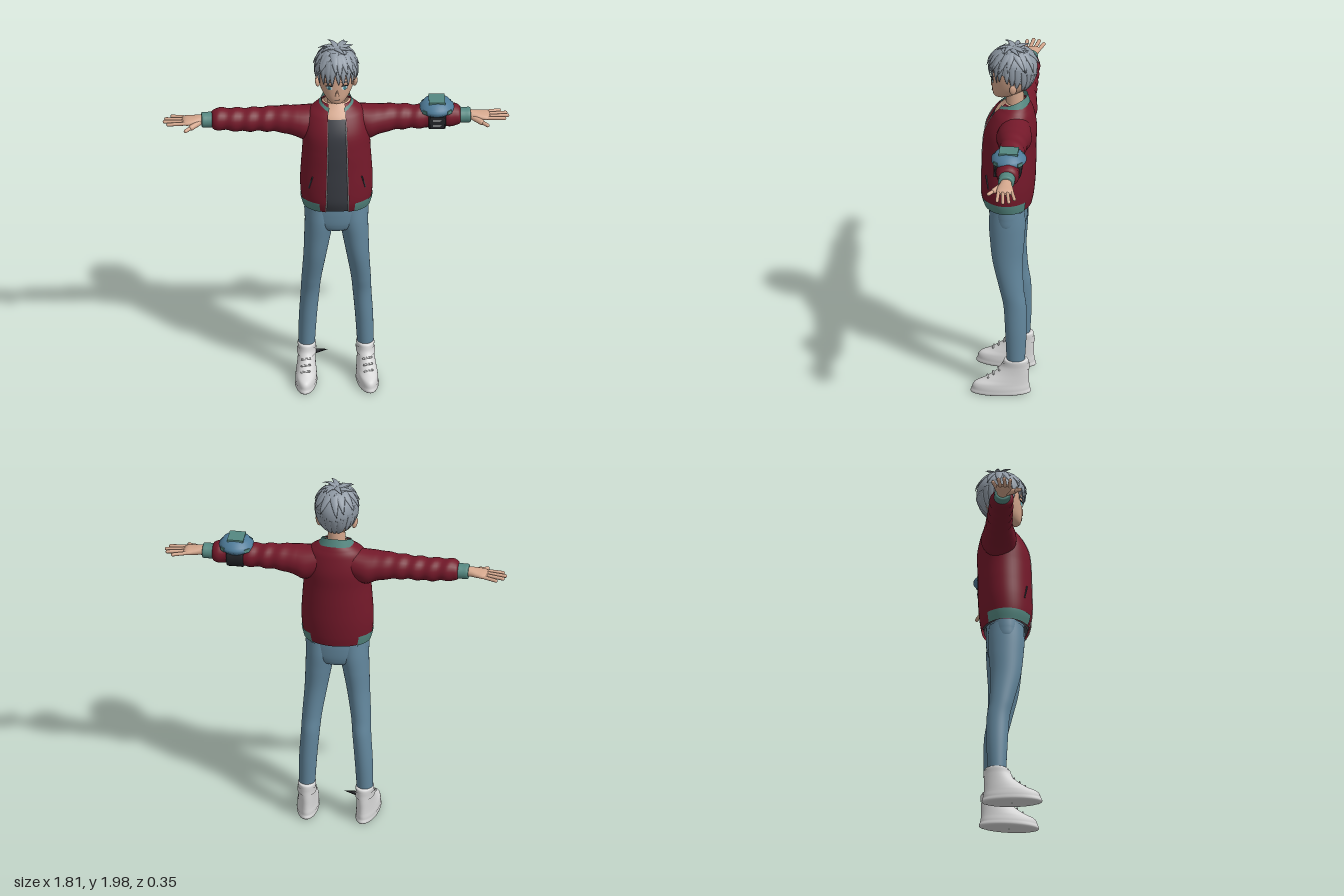
import * as THREE from 'three';
import { mergeGeometries } from 'three/addons/utils/BufferGeometryUtils.js';
import { ParametricGeometry } from 'three/addons/geometries/ParametricGeometry.js';

const mat = (name, color, side = THREE.FrontSide) =>
  Object.assign(new THREE.MeshStandardMaterial({ color, side }), { name });
const V = (x, y, z) => new THREE.Vector3(x, y, z);

// Smooth interpolation through a list of cross-sections
function sample(secs, v) {
  const n = secs.length - 1, k = Math.min(Math.max(v, 0), 1) * n;
  const i = Math.min(Math.floor(k), n - 1), t = k - i;
  const [p0, p1, p2, p3] = [secs[Math.max(i - 1, 0)], secs[i], secs[i + 1], secs[Math.min(i + 2, n)]];
  return p1.map((b, j) => {
    const a = p0[j], c = p2[j], d = p3[j];
    return 0.5 * (2 * b + (c - a) * t + (2 * a - 5 * b + 4 * c - d) * t * t + (3 * b - a - 3 * c + d) * t * t * t);
  });
}

// Upright loft; sections are [y, cx, cz, rx, rz], angle 0 faces the front
function loftY(secs, { s = 1, grow = 0, v0 = 0, v1 = 1, arc = () => [0, 2 * Math.PI], nu = 36, nv = 32 } = {}) {
  return new ParametricGeometry((u, v, p) => {
    const [y, cx, cz, rx, rz] = sample(secs, v0 + (v1 - v0) * v);
    const [a0, a1] = arc(rx, v), a = a0 + (a1 - a0) * u;
    p.set(s * cx + (rx + grow) * Math.sin(a), y, cz + (rz + grow) * Math.cos(a));
  }, nu, nv);
}

// Sideways loft; sections are [x, cy, cz, ry, rz]
function loftX(secs, s, wrinkle = 0, nv = 20) {
  return new ParametricGeometry((u, v, p) => {
    const [x, cy, cz, ry, rz] = sample(secs, v), a = 2 * Math.PI * u;
    const w = wrinkle * Math.sin(x * 75 + 1.2 * Math.sin(a)) * Math.min(1, Math.max(0, (x - 0.2) * 6));
    p.set(s * x, cy + (ry + w) * Math.cos(a), cz + s * (rz + w) * Math.sin(a));
  }, 24, nv);
}

// Pointed, flattened lock of hair along a bent path
function lock(a, b, c, width, centre) {
  const curve = new THREE.QuadraticBezierCurve3(a, b, c);
  return new ParametricGeometry((u, v, p) => {
    const q = curve.getPoint(v), T = curve.getTangent(v);
    const S = q.clone().sub(centre).cross(T).normalize(), N = T.clone().cross(S);
    const w = width * (0.002 + Math.pow(1 - v, 0.7)), t = 2 * Math.PI * u;
    p.copy(q).addScaledVector(S, w * Math.cos(t)).addScaledVector(N, 0.4 * w * Math.sin(t));
  }, 8, 6);
}

// Rounded rod between two points
function rod(a, b, r) {
  const d = b.clone().sub(a), g = new THREE.CapsuleGeometry(r, d.length(), 4, 10);
  g.applyQuaternion(new THREE.Quaternion().setFromUnitVectors(V(0, 1, 0), d.normalize()));
  const m = a.clone().add(b).multiplyScalar(0.5);
  return g.translate(m.x, m.y, m.z);
}

export function createModel() {
  const root = new THREE.Group();
  root.name = 'youngMan';
  const M = {
    hair: mat('hairGrey', 0x909aa5), skin: mat('skin', 0xd3a68c, THREE.DoubleSide),
    red: mat('jacketRed', 0x74192a, THREE.DoubleSide), teal: mat('ribTeal', 0x558881, THREE.DoubleSide),
    shirt: mat('shirtCharcoal', 0x383b42, THREE.DoubleSide), jeans: mat('jeansBlue', 0x62869c),
    white: mat('shoeWhite', 0xd8d8d8), blue: mat('deviceBlue', 0x4f7c9a),
    black: mat('black', 0x222327), iris: mat('irisAqua', 0x58a3b0),
  };
  const add = (name, geo, m, parent = root) => {
    const mesh = new THREE.Mesh(geo, m);
    mesh.name = name;
    parent.add(mesh);
    return mesh;
  };
  const box = (name, m, size, pos, rot = [0, 0, 0], parent = root) => {
    const b = add(name, new THREE.BoxGeometry(...size), m, parent);
    b.position.set(...pos);
    b.rotation.set(...rot);
    return b;
  };

  // Jacket body with an open front, over the shirt and upper chest
  const torso = [[1.06, 0, 0.005, 0.172, 0.125], [1.115, 0, 0.008, 0.185, 0.138], [1.2, 0, 0.005, 0.19, 0.143],
    [1.3, 0, 0.002, 0.185, 0.143], [1.4, 0, 0, 0.178, 0.142], [1.5, 0, -0.008, 0.175, 0.137],
    [1.585, 0, -0.022, 0.152, 0.108], [1.625, 0, -0.033, 0.112, 0.082], [1.65, 0, -0.037, 0.075, 0.065]];
  const gap = (rx, v) => Math.asin((0.06 - 0.018 * v) / rx);
  add('jacketBody', loftY(torso, { nu: 48, arc: (rx, v) => [gap(rx, v), 2 * Math.PI - gap(rx, v)] }), M.red);
  add('shirt', loftY(torso, { grow: -0.012, v1: 0.75 }), M.shirt);
  add('upperChest', loftY(torso, { grow: -0.012, v0: 0.75 }), M.skin);
  for (const s of [1, -1]) {
    const arc = () => (s > 0 ? [0.52, 2.4] : [2 * Math.PI - 2.4, 2 * Math.PI - 0.52]);
    add('hemRib', loftY(torso, { grow: 0.004, v1: 1 / 8, arc, nv: 6 }), M.teal);
    const edge = [];
    for (let i = 0; i <= 12; i++) {
      const v = 0.02 + 0.72 * i / 12, [y, , cz, rx, rz] = sample(torso, v), a = gap(rx, v);
      edge.push(V(s * rx * Math.sin(a), y, cz + rz * Math.cos(a)));
    }
    add('zipEdge', new THREE.TubeGeometry(new THREE.CatmullRomCurve3(edge), 30, 0.003, 6), M.white);
    box('pocketSlit', M.shirt, [0.006, 0.075, 0.008], [s * 0.138, 1.23, 0.103], [0, s * 0.7, s * 0.3]);
  }

  // Standing collar, low in front and high behind
  add('collar', new ParametricGeometry((u, v, p) => {
    const a = 0.5 + (2 * Math.PI - 1) * u;
    p.set((0.1 - 0.022 * v) * Math.sin(a), 1.62 - 0.03 * Math.cos(a) + 0.042 * v,
      -0.015 - 0.01 * v + (0.094 - 0.022 * v) * Math.cos(a));
  }, 36, 4), M.teal);

  // Arms: sleeve, cuff, palm and fingers
  const sleeve = [[0.08, 1.535, -0.042, 0.08, 0.075], [0.16, 1.515, -0.04, 0.092, 0.093], [0.22, 1.525, -0.04, 0.08, 0.085],
    [0.3, 1.533, -0.045, 0.07, 0.071], [0.4, 1.533, -0.046, 0.063, 0.066], [0.5, 1.532, -0.046, 0.062, 0.063],
    [0.6, 1.538, -0.046, 0.058, 0.06], [0.64, 1.537, -0.046, 0.054, 0.055], [0.652, 1.537, -0.046, 0.038, 0.04]];
  const cuff = [[0.63, 1.536, -0.046, 0.041, 0.044], [0.67, 1.535, -0.046, 0.04, 0.043],
    [0.7, 1.535, -0.046, 0.039, 0.042], [0.704, 1.535, -0.046, 0.026, 0.03]];
  const palm = [[0.67, 1.535, -0.046, 0.026, 0.029], [0.71, 1.536, -0.046, 0.025, 0.031], [0.75, 1.533, -0.046, 0.022, 0.041],
    [0.79, 1.53, -0.049, 0.017, 0.046], [0.81, 1.528, -0.049, 0.003, 0.034]];
  const fingers = [[0.79, -0.086, 0.855, -0.104], [0.795, -0.062, 0.888, -0.077], [0.795, -0.037, 0.897, -0.047], [0.79, -0.014, 0.88, -0.015]];
  for (const s of [1, -1]) {
    const arm = new THREE.Group();
    arm.name = s > 0 ? 'leftArm' : 'rightArm';
    root.add(arm);
    add('sleeve', loftX(sleeve, s, 0.0035, 70), M.red, arm);
    add('cuff', loftX(cuff, s), M.teal, arm);
    add('palm', loftX(palm, s), M.skin, arm);
    for (const [x0, z0, x1, z1] of fingers)
      add('finger', rod(V(s * x0, 1.53, z0), V(s * x1, 1.526, z1), 0.0095), M.skin, arm);
    add('thumbBase', rod(V(s * 0.715, 1.53, -0.025), V(s * 0.76, 1.52, 0.012), 0.015), M.skin, arm);
    add('thumb', rod(V(s * 0.76, 1.52, 0.012), V(s * 0.79, 1.515, 0.038), 0.01), M.skin, arm);
  }

  // Round device strapped to the left sleeve
  const device = new THREE.Group();
  device.name = 'armDevice';
  root.add(device);
  device.position.set(0.527, 0, -0.045);
  const dome = [[0, 1.54], [0.06, 1.55], [0.082, 1.57], [0.092, 1.58], [0.092, 1.595], [0.082, 1.603], [0.07, 1.622], [0.045, 1.631], [0, 1.634]];
  add('deviceDome', new THREE.LatheGeometry(dome.map(([r, y]) => new THREE.Vector2(r, y)), 32), M.blue, device);
  box('deviceFace', M.teal, [0.085, 0.014, 0.1], [0, 1.63, 0], [0, 0, 0], device);
  for (let i = 0; i < 4; i++) {
    const a = Math.PI / 4 + i * Math.PI / 2;
    box('deviceLug', M.teal, [0.03, 0.02, 0.014], [0.087 * Math.sin(a), 1.587, 0.087 * Math.cos(a)], [0, a, 0], device);
  }
  const strap = [-0.045, -0.04, 0, 0.04, 0.045].map((x, i) => {
    const r = i % 4 ? 0.071 : 0.06;
    return [x, 1.535, 0, r, r];
  });
  add('deviceStrap', loftX(strap, 1), M.black, device);
  box('strapClasp', M.black, [0.075, 0.07, 0.02], [0, 1.53, 0.066], [0, 0, 0], device);
  for (const y of [1.515, 1.545]) box('claspLine', M.white, [0.045, 0.004, 0.004], [0, y, 0.077], [0, 0, 0], device);

  // Jeans
  add('jeansHips', loftY([[0.905, 0, 0, 0.01, 0.03], [0.925, 0, 0.002, 0.11, 0.08], [0.96, 0, 0.003, 0.16, 0.097],
    [1.02, 0, 0.003, 0.168, 0.102], [1.09, 0, 0.003, 0.165, 0.1]]), M.jeans);
  const leg = [[0.17, 0.153, -0.05, 0.039, 0.044], [0.2, 0.153, -0.048, 0.043, 0.048], [0.35, 0.147, -0.048, 0.047, 0.056],
    [0.5, 0.136, -0.042, 0.049, 0.06], [0.6, 0.129, -0.024, 0.052, 0.064], [0.75, 0.112, -0.002, 0.06, 0.079],
    [0.88, 0.098, 0.002, 0.07, 0.091], [0.97, 0.088, 0.003, 0.077, 0.096], [1.05, 0.085, 0.003, 0.075, 0.09]];
  for (const s of [1, -1]) add('jeansLeg', loftY(leg, { s, nv: 48 }), M.jeans);

  // High-top shoes, toes turned slightly out
  const shoe = [[0.003, 0, 0.03, 0.003, 0.003], [0.002, 0, 0.03, 0.05, 0.143], [0.03, 0, 0.03, 0.056, 0.15], [0.06, 0, 0.025, 0.054, 0.143],
    [0.085, 0, 0, 0.05, 0.117], [0.12, 0, -0.027, 0.046, 0.09], [0.16, 0, -0.045, 0.045, 0.07], [0.195, 0, -0.05, 0.047, 0.063],
    [0.2, 0, -0.05, 0.036, 0.045]];
  for (const s of [1, -1]) {
    const g = new THREE.Group();
    g.name = s > 0 ? 'leftShoe' : 'rightShoe';
    g.position.x = s * 0.157;
    g.rotation.y = s * 0.08;
    root.add(g);
    add('shoeUpper', loftY(shoe, { nv: 48 }), M.white, g);
    add('shoeSole', loftY(shoe, { grow: 0.003, v0: 0.125, v1: 0.27, nv: 6 }), M.white, g);
    add('ankleStrap', loftY(shoe, { grow: 0.005, v0: 0.7, v1: 0.82, nv: 6 }), M.white, g);
    for (let i = 0; i < 3; i++)
      add('lace', rod(V(-0.022, 0.09 + 0.022 * i, 0.1 - 0.029 * i), V(0.022, 0.095 + 0.022 * i, 0.097 - 0.029 * i), 0.005), M.white, g);
  }
  const spike = add('ankleSpike', new THREE.ConeGeometry(0.012, 0.07, 6), M.black);
  spike.position.set(-0.073, 0.145, -0.04);
  spike.rotation.z = -Math.PI / 2 + 0.15;

  // Head, neck and ears
  add('neck', new THREE.CylinderGeometry(0.045, 0.05, 0.17, 24).translate(0, 1.64, -0.03), M.skin);
  add('head', loftY([[1.672, 0, 0.045, 0.004, 0.004], [1.682, 0, 0.038, 0.033, 0.04], [1.71, 0, 0.015, 0.062, 0.073],
    [1.75, 0, -0.01, 0.085, 0.1], [1.8, 0, -0.02, 0.098, 0.11], [1.85, 0, -0.025, 0.1, 0.114],
    [1.9, 0, -0.025, 0.09, 0.1], [1.94, 0, -0.025, 0.04, 0.05]]), M.skin);
  const nose = add('nose', new THREE.ConeGeometry(0.012, 0.04, 8), M.skin);
  nose.position.set(0, 1.757, 0.09);
  nose.rotation.x = 0.3;
  box('mouth', M.black, [0.026, 0.003, 0.004], [0, 1.712, 0.089]);

  // Eyes, lids and brows as thin plates
  for (const s of [1, -1]) {
    const eye = new THREE.Group();
    eye.name = 'eye';
    eye.position.set(s * 0.04, 1.784, 0.085);
    eye.rotation.y = s * 0.4;
    root.add(eye);
    add('eyeWhite', new THREE.CircleGeometry(1, 20).scale(0.019, 0.012, 1), M.white, eye);
    add('iris', new THREE.CircleGeometry(1, 16).scale(0.01, 0.012, 1).translate(0, 0, 0.002), M.iris, eye);
    add('pupil', new THREE.CircleGeometry(0.004, 12).translate(0, 0, 0.004), M.black, eye);
    box('upperLid', M.black, [0.038, 0.004, 0.004], [0, 0.012, 0.002], [0, 0, -s * 0.08], eye);
    box('brow', M.hair, [0.038, 0.005, 0.004], [0, 0.034, 0.002], [0, 0, -s * 0.12], eye);
    const ear = add('ear', new THREE.SphereGeometry(1, 14, 10).scale(0.011, 0.03, 0.02), M.skin);
    ear.position.set(s * 0.098, 1.762, -0.028);
    ear.rotation.set(0.15, s * 0.4, -s * 0.2);
  }

  // Hair: a cap with a hairline that drops toward the nape, plus layered locks
  const centre = V(0, 1.855, -0.02);
  const onHead = (a, p, k = 1) => V(0.113 * k * Math.sin(p) * Math.sin(a),
    (Math.cos(p) > 0 ? 0.115 : 0.15) * k * Math.cos(p), 0.128 * k * Math.sin(p) * Math.cos(a)).add(centre);
  const hairline = (a) => 1.75 - 0.45 * Math.cos(a) + 0.15 * Math.cos(a) ** 2;
  let seed = 7;
  const rnd = () => (seed = (seed * 16807) % 2147483647) / 2147483647;
  add('hairCap', new ParametricGeometry((u, v, p) => {
    const a = 2 * Math.PI * u;
    p.copy(onHead(a, 0.01 + hairline(a) * (1 - v)));
  }, 40, 20), M.hair);
  const locks = [];
  for (let i = 0; i < 24; i++) {
    const a = 2 * Math.PI * (i + 0.3 * rnd()) / 24, e = hairline(a), sway = 0.25 * (rnd() - 0.6);
    const reach = 0.28 + 0.16 * rnd() + (Math.cos(a) > 0.5 ? 0.12 : 0);
    locks.push(lock(onHead(a, e - 0.6, 0.97), onHead(a + sway / 2, e, 1.09), onHead(a + sway, e + reach, 1.02), 0.024, centre));
  }
  for (let i = 0; i < 17; i++) {
    const a = 2 * Math.PI * (i + 0.5 * rnd()) / 17, sway = 0.5 * (rnd() - 0.5), p = 0.45 + 0.2 * rnd();
    locks.push(lock(onHead(a, p, 0.97), onHead(a + sway / 2, p + 0.45, 1.1), onHead(a + sway, p + 0.95, 1.09), 0.026, centre));
  }
  for (let i = 0; i < 9; i++) {
    const a = 2 * Math.PI * i / 9 + rnd(), p = 0.1 + 0.2 * rnd();
    locks.push(lock(onHead(a, p, 0.95), onHead(a, p + 0.2, 1.16), onHead(a + 0.3, p + 0.55, 1.24), 0.02, centre));
  }
  add('hairLocks', mergeGeometries(locks), M.hair);
  return root;
}
